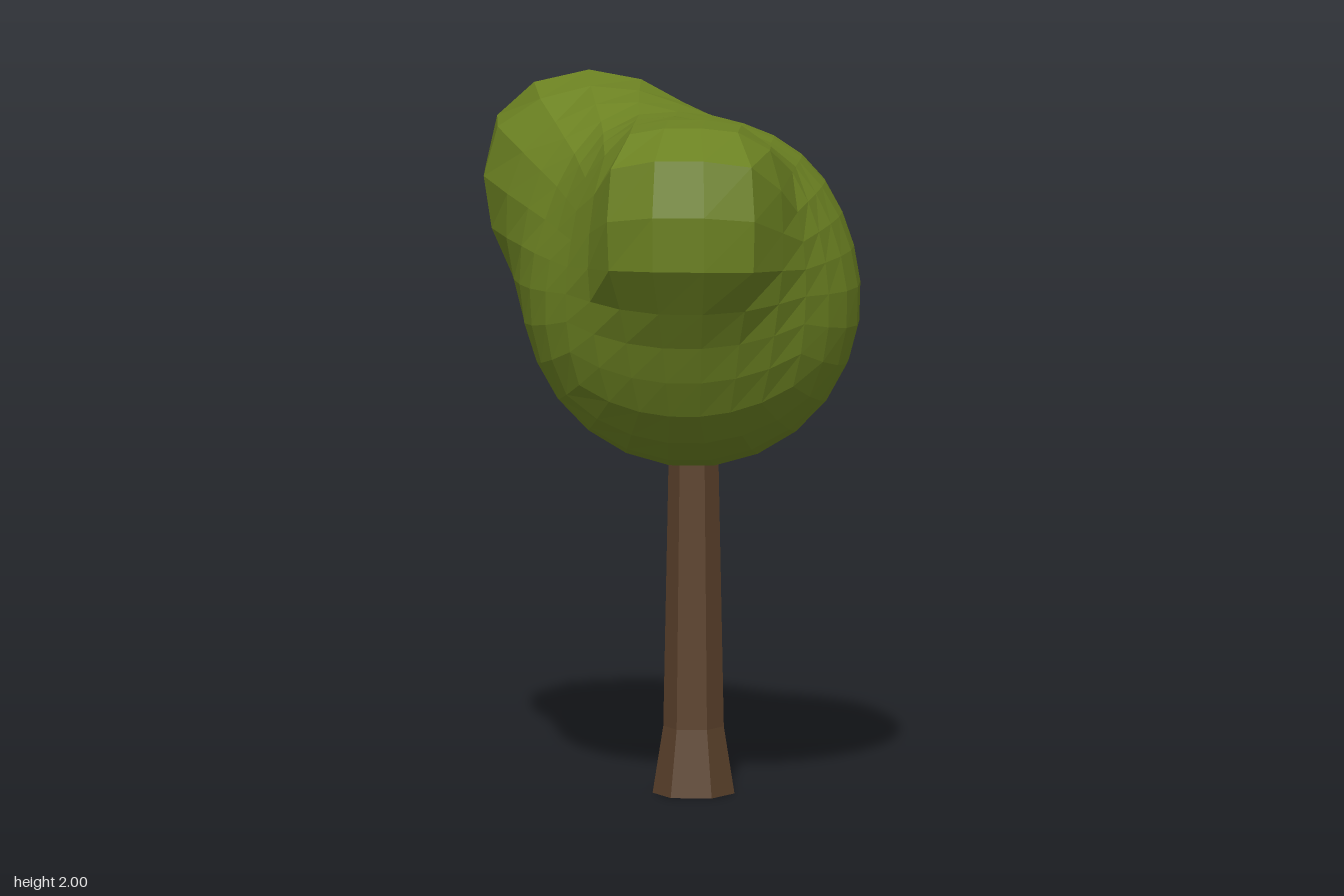
import * as THREE from 'three';

const bark = new THREE.MeshStandardMaterial({ color: 0x5c422c, flatShading: true });
bark.name = 'bark brown';
const leaf = new THREE.MeshStandardMaterial({ color: 0x6c8222, flatShading: true });
leaf.name = 'leaf green';

// Rounded masses that melt together into the crown: centre, radii, squareness
const ball = { c: [0.068, 1.405, -0.02], r: [0.472, 0.475, 0.47], p: 2 };
const shoulder = { c: [0.11, 1.56, -0.08], r: [0.35, 0.32, 0.41], p: 2.1 };
const front = { c: [0.085, 1.69, 0.36], r: [0.265, 0.265, 0.27], p: 3 };
const back = { c: [-0.24, 1.705, -0.33], r: [0.305, 0.295, 0.3], p: 2.2 };

// In-between mass bridging two others, so the crown has no deep notches
function bridge(a, b, t, scale) {
  const mix = (u, v) => u.map((n, i) => n + (v[i] - n) * t);
  return { c: mix(a.c, b.c), r: mix(a.r, b.r).map((n) => n * scale), p: 2 };
}

const lobes = [
  ball, shoulder, front, back,
  bridge(ball, back, 0.35, 0.94), bridge(ball, back, 0.68, 0.93),
  bridge(ball, front, 0.5, 0.93),
  bridge(back, front, 0.33, 0.83), bridge(back, front, 0.66, 0.83),
];
const BLEND = 0.08;
const HEART = new THREE.Vector3(0.07, 1.5, -0.02);

// Approximate signed distance to one lobe
function lobeDistance(v, { c, r, p }) {
  const q = [v.x - c[0], v.y - c[1], v.z - c[2]];
  const sum = q.reduce((s, d, i) => s + Math.pow(Math.abs(d) / r[i], p), 0);
  return (Math.pow(sum, 1 / p) - 1) * Math.min(...r);
}

// Smooth union of all lobes
function crownDistance(v) {
  return lobes.map((l) => lobeDistance(v, l)).reduce((a, b) => {
    const h = Math.max(BLEND - Math.abs(a - b), 0) / BLEND;
    return Math.min(a, b) - h * h * BLEND * 0.25;
  });
}

// Point where a ray from the heart of the crown leaves the foliage
function crownPoint(dir) {
  const at = (t) => HEART.clone().addScaledVector(dir, t);
  let outer = 1.2;
  while (outer > 0.05 && crownDistance(at(outer - 0.02)) > 0) outer -= 0.02;
  let inner = outer - 0.02;
  for (let i = 0; i < 14; i++) {
    const mid = (inner + outer) / 2;
    if (crownDistance(at(mid)) > 0) outer = mid;
    else inner = mid;
  }
  return at(inner);
}

// Crown: a subdivided cube projected onto the blended lobes
function makeCrown() {
  const geo = new THREE.BoxGeometry(2, 2, 2, 7, 7, 7);
  const pos = geo.attributes.position;
  const even = (a) => Math.tan((a * Math.PI) / 4);
  for (let i = 0; i < pos.count; i++) {
    const dir = new THREE.Vector3(even(pos.getX(i)), even(pos.getY(i)), even(pos.getZ(i))).normalize();
    const p = crownPoint(dir);
    pos.setXYZ(i, p.x, p.y, p.z);
  }
  const flat = geo.toNonIndexed();
  flat.computeVertexNormals();
  const mesh = new THREE.Mesh(flat, leaf);
  mesh.name = 'crown';
  return mesh;
}

// Trunk: six-sided, flared at the foot, running up into the crown
function makeTrunk() {
  const profile = [[0, 0], [0.115, 0], [0.085, 0.19], [0.069, 1.0], [0, 1.0]];
  const lathe = new THREE.LatheGeometry(profile.map(([x, y]) => new THREE.Vector2(x, y)), 6, Math.PI / 2);
  const geo = lathe.toNonIndexed();
  geo.computeVertexNormals();
  const mesh = new THREE.Mesh(geo, bark);
  mesh.name = 'trunk';
  mesh.position.set(0.07, 0, -0.025);
  return mesh;
}

export function createModel() {
  const tree = new THREE.Group();
  tree.name = 'tree';
  tree.add(makeTrunk(), makeCrown());
  return tree;
}
